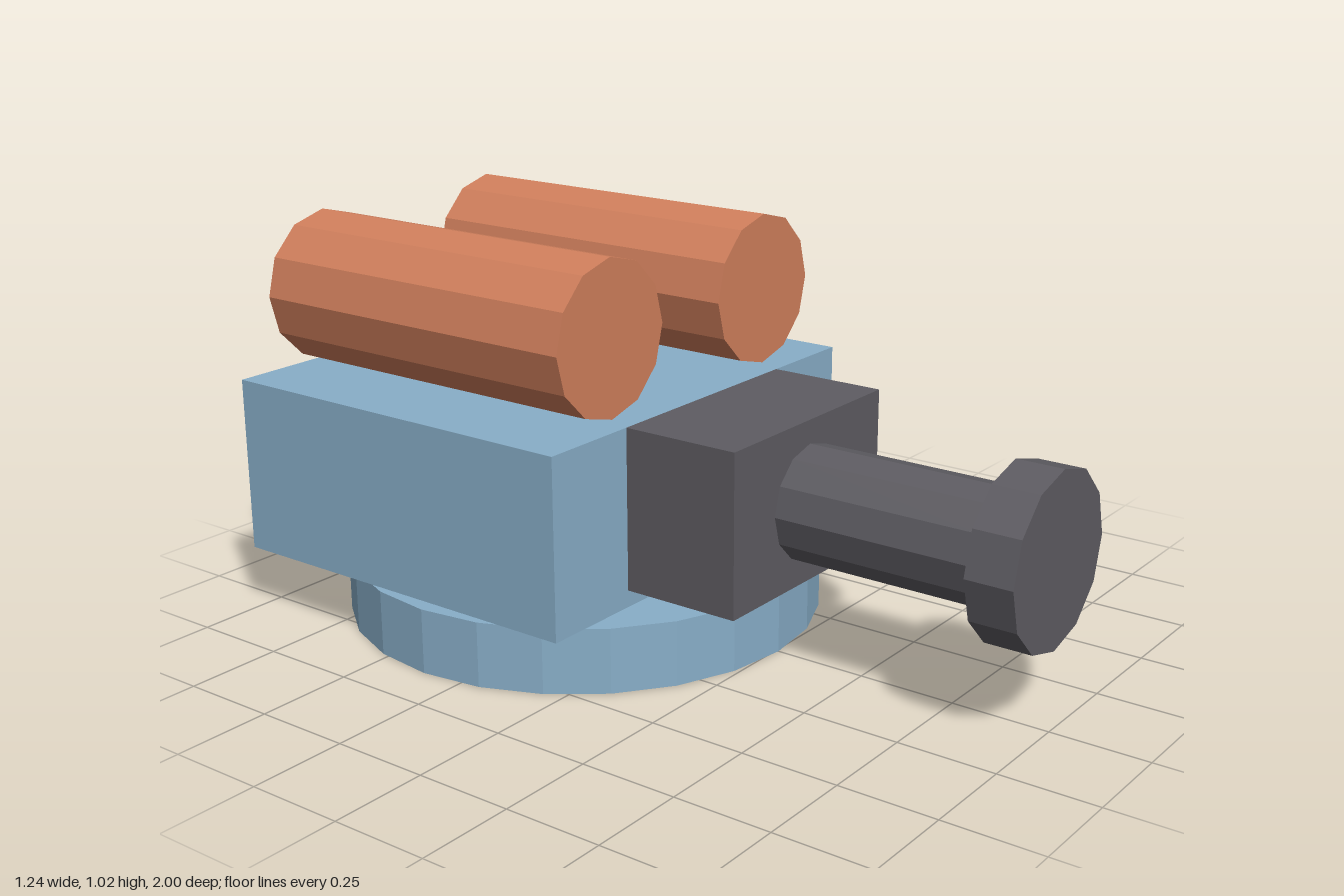
import * as THREE from 'three';

export function createModel() {
  const model = new THREE.Group();
  model.name = 'turret';

  const paint = (name, color) => {
    const m = new THREE.MeshStandardMaterial({ color, flatShading: true });
    m.name = name;
    return m;
  };
  const blue = paint('steel blue', 0x88aec8);
  const grey = paint('gunmetal grey', 0x5e5c62);
  const orange = paint('copper orange', 0xd07f5c);

  const add = (name, geometry, material, x, y, z) => {
    const mesh = new THREE.Mesh(geometry, material);
    mesh.name = name;
    mesh.position.set(x, y, z);
    model.add(mesh);
    return mesh;
  };
  // Upright disc from y0 to y1
  const disc = (name, material, r, sides, y0, y1, z) =>
    add(name, new THREE.CylinderGeometry(r, r, y1 - y0, sides), material, 0, (y0 + y1) / 2, z);
  // Twelve-sided rod lying along z from z0 to z1
  const rod = (name, material, r, x, y, z0, z1) =>
    add(name, new THREE.CylinderGeometry(r, r, z1 - z0, 12).rotateX(Math.PI / 2), material, x, y, (z0 + z1) / 2);

  // Turning base, body and roof hatch
  disc('base', blue, 0.618, 24, 0, 0.167, -0.36);
  add('body', new THREE.BoxGeometry(1.155, 0.453, 1.03), blue, 0, 0.3935, -0.485);
  disc('hatch', grey, 0.185, 12, 0.62, 0.702, -0.775);

  // Gun: mount, barrel and muzzle
  add('gunMount', new THREE.BoxGeometry(0.62, 0.41, 0.31), grey, 0, 0.415, 0.185);
  rod('barrel', grey, 0.145, 0, 0.415, 0.34, 0.88);
  rod('muzzle', grey, 0.216, 0, 0.415, 0.88, 1);

  // Pair of tanks above the roof
  for (const side of [1, -1]) {
    rod(side > 0 ? 'leftTank' : 'rightTank', orange, 0.195, side * 0.309, 0.826, -0.96, -0.013);
  }
  return model;
}
